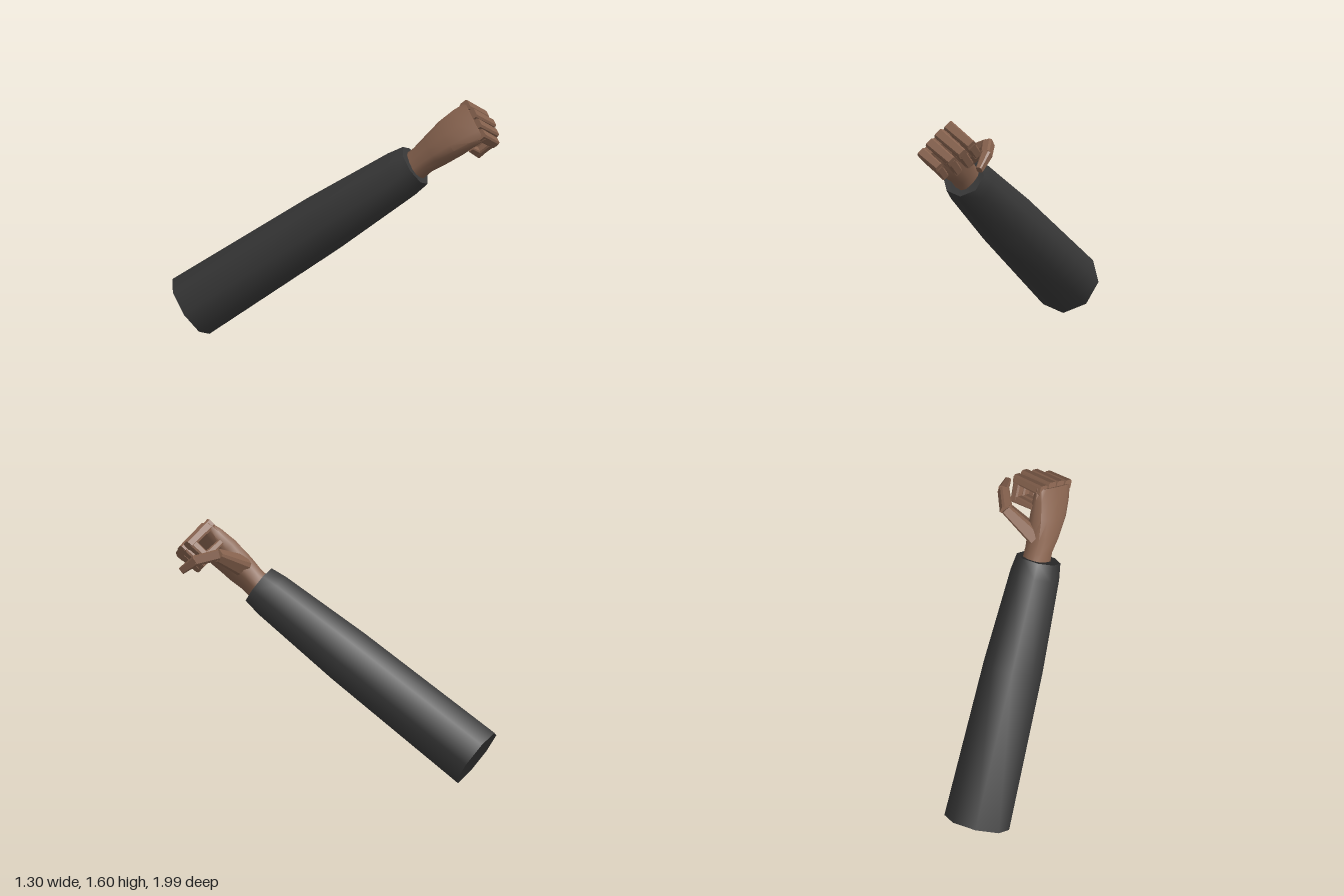
import * as THREE from 'three';
import { toCreasedNormals } from 'three/addons/utils/BufferGeometryUtils.js';

const V = (x, y, z) => new THREE.Vector3(x, y, z);

// Closed skin over a list of rings, each with the same number of points
function loft(rings, crease) {
  const n = rings[0].length, pos = [], idx = [];
  const add = (p) => pos.push(p.x, p.y, p.z);
  rings.forEach((r) => r.forEach(add));
  const mid = (r) => r.reduce((s, p) => s.add(p), V(0, 0, 0)).divideScalar(n);
  const last = rings.length - 1, c0 = n * rings.length;
  add(mid(rings[0]));
  add(mid(rings[last]));
  for (let i = 0; i < n; i++) {
    const j = (i + 1) % n;
    for (let k = 0; k < last; k++) {
      const a = k * n + i, b = k * n + j;
      idx.push(a, b, b + n, a, b + n, a + n);
    }
    idx.push(c0, j, i, c0 + 1, last * n + i, last * n + j);
  }
  const g = new THREE.BufferGeometry();
  g.setAttribute('position', new THREE.Float32BufferAttribute(pos, 3));
  g.setIndex(idx);
  g.computeVertexNormals();
  return toCreasedNormals(g, crease);
}

// Chamfered bar between two points; sizes are [half width, half thickness]
const BAR = [[1, -0.6], [1, 0.6], [0.7, 1], [-0.7, 1], [-1, 0.6], [-1, -0.6], [-0.7, -1], [0.7, -1]];
function bar(a, b, side, sizeA, sizeB) {
  const d = b.clone().sub(a).normalize();
  const s = side.clone().addScaledVector(d, -side.dot(d)).normalize();
  const t = d.clone().cross(s);
  const ring = (c, [w, h]) =>
    BAR.map(([p, q]) => c.clone().addScaledVector(s, p * w).addScaledVector(t, q * h));
  return loft([ring(a, sizeA), ring(b, sizeB)], 0.3);
}

export function createModel() {
  const model = new THREE.Group();
  const sleeveMat = new THREE.MeshStandardMaterial({ color: 0x383838 });
  sleeveMat.name = 'charcoal cloth';
  const skinMat = new THREE.MeshStandardMaterial({ color: 0x86624e });
  skinMat.name = 'brown skin';
  const mesh = (name, geo, mat, parent) => {
    const m = new THREE.Mesh(geo, mat);
    m.name = name;
    parent.add(m);
    return m;
  };

  // Sleeve: eight-sided tapering tube from elbow to wrist
  const elbow = V(-0.47, 0.18, -0.855), wrist = V(0.16, 1.17, 0.51);
  const axis = wrist.clone().sub(elbow);
  const len = axis.length();
  axis.normalize();
  const rim = V(0.07, -0.18, 0.095);
  rim.addScaledVector(axis, -rim.dot(axis)).normalize();
  const profile = [[0, 0], [0.214, 0], [0.193, 0.59], [0.16, 0.94], [0.144, 1], [0, 0.995]]
    .map(([r, t]) => new THREE.Vector2(r, t * len));
  const sleeve = mesh('sleeve', toCreasedNormals(new THREE.LatheGeometry(profile, 8), 0.9), sleeveMat, model);
  sleeve.applyMatrix4(new THREE.Matrix4()
    .makeBasis(rim, axis, rim.clone().cross(axis)).setPosition(elbow));

  // Hand frame: x out of the palm, y towards the knuckles, z towards the little finger
  const hand = new THREE.Group();
  hand.name = 'hand';
  const up = V(0.32, 0.64, 0.70).normalize();
  const out = up.clone().cross(V(-0.23, -0.66, 0.72)).normalize();
  hand.applyMatrix4(new THREE.Matrix4()
    .makeBasis(out, up, out.clone().cross(up)).setPosition(wrist));
  model.add(hand);

  // Wrist and palm: [y, back x, palm x, thumb-side z, little-finger-side z]
  const soft = (v) => Math.sign(v) * Math.abs(v) ** 0.7;
  const palmRings = [
    [-0.06, -0.068, 0.09, -0.10, 0.088],
    [0.06, -0.064, 0.085, -0.098, 0.088],
    [0.16, -0.075, 0.09, -0.11, 0.112],
    [0.30, -0.072, 0.085, -0.135, 0.143],
    [0.42, -0.045, 0.075, -0.148, 0.16],
    [0.505, -0.012, 0.062, -0.15, 0.168],
  ].map(([y, x0, x1, z0, z1]) => Array.from({ length: 12 }, (_, i) => {
    const a = (i * Math.PI) / 6;
    return V((x0 + x1) / 2 + soft(Math.sin(a)) * (x1 - x0) / 2, y,
      (z0 + z1) / 2 + soft(Math.cos(a)) * (z1 - z0) / 2);
  }));
  mesh('palm', loft(palmRings, 0.8), skinMat, hand);

  // Curled fingers: [name, z, reach, knuckle y, tip y, half width]
  const across = V(0, 0, 1);
  [
    ['indexFinger', -0.113, 0.232, 0.495, 0.36, 0.036],
    ['middleFinger', -0.032, 0.24, 0.508, 0.355, 0.036],
    ['ringFinger', 0.05, 0.22, 0.505, 0.36, 0.035],
    ['littleFinger', 0.132, 0.178, 0.498, 0.373, 0.032],
  ].forEach(([name, z, reach, ky, ty, w]) => {
    const finger = new THREE.Group();
    finger.name = name;
    hand.add(finger);
    const x = reach - 0.028;
    mesh('knuckleSegment', bar(V(-0.002, ky, z), V(reach, ky - 0.006, z), across,
      [w, 0.034], [w * 0.88, 0.03]), skinMat, finger);
    mesh('middleSegment', bar(V(x, ky - 0.01, z), V(x - 0.005, ty - 0.01, z), across,
      [w * 0.86, 0.029], [w * 0.8, 0.026]), skinMat, finger);
    mesh('tipSegment', bar(V(x + 0.015, ty, z), V(0.045, ty + 0.003, z), across,
      [w * 0.82, 0.027], [w * 0.65, 0.02]), skinMat, finger);
  });

  // Thumb: three segments reaching round in front of the fingers
  const thumb = new THREE.Group();
  thumb.name = 'thumb';
  hand.add(thumb);
  const joints = [V(0.02, 0.16, -0.06), V(0.19, 0.31, -0.21), V(0.292, 0.385, -0.14), V(0.35, 0.408, -0.036)];
  const sizes = [[0.055, 0.06], [0.036, 0.036], [0.034, 0.032], [0.024, 0.02]];
  for (let i = 0; i < 3; i++) {
    const a = joints[i].clone(), b = joints[i + 1];
    if (i) a.lerp(b, -0.12);
    mesh('thumbSegment' + (i + 1), bar(a, b, V(0, 1, 0), sizes[i], sizes[i + 1]), skinMat, thumb);
  }
  return model;
}
